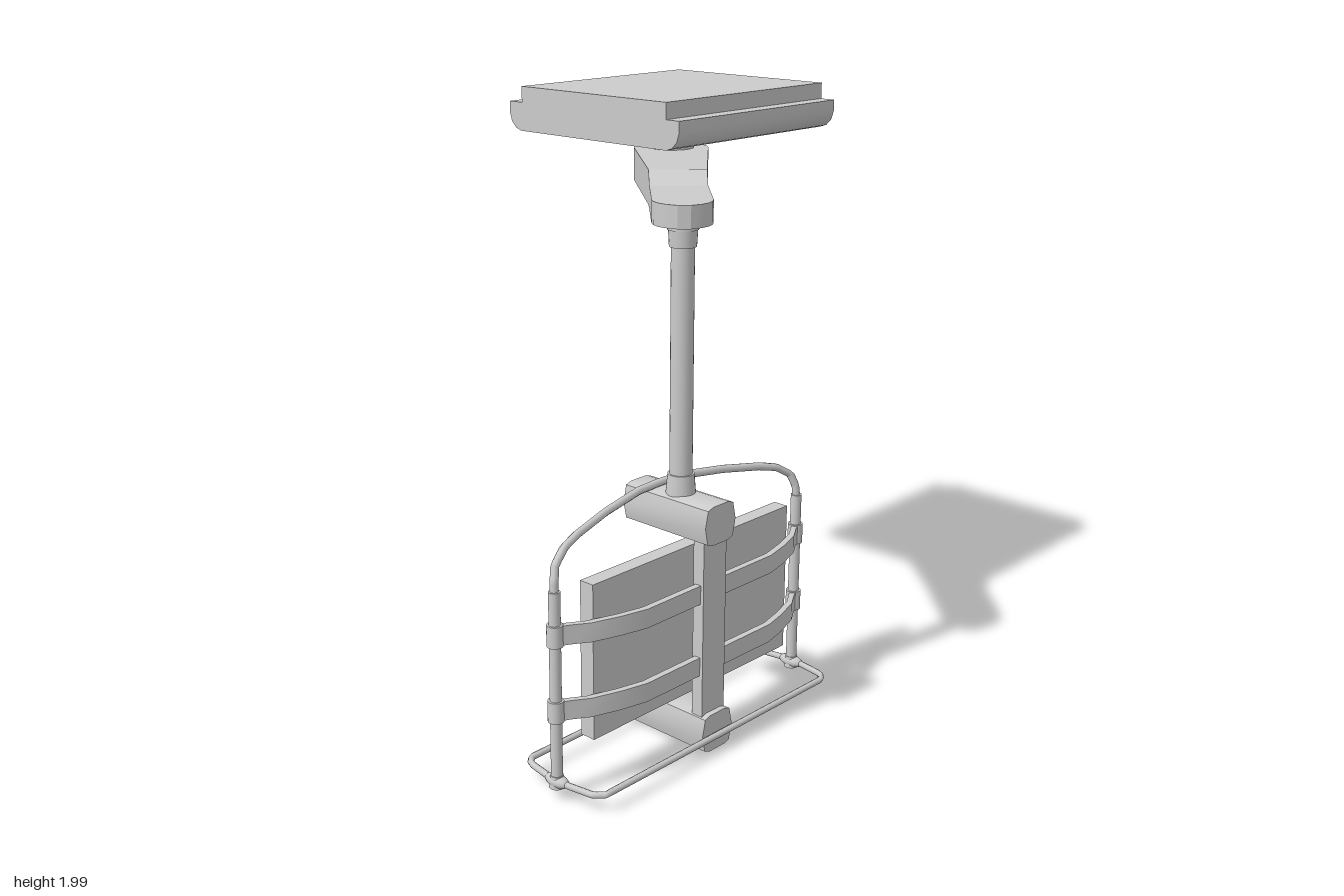
import * as THREE from 'three';
import { toCreasedNormals } from 'three/addons/utils/BufferGeometryUtils.js';

const grey = new THREE.MeshStandardMaterial({ color: 0xcccccc });
const PX = 0.375, PZ = 0.182; // axis of the hanging pole
const TX = 0.392;             // plane of the tubular frame

export function createModel() {
  const model = new THREE.Group();

  const add = (name, geometry, x = 0, y = 0, z = 0, parent = model) => {
    const mesh = new THREE.Mesh(geometry, grey);
    mesh.name = name;
    mesh.position.set(x, y, z);
    parent.add(mesh);
    return mesh;
  };
  const rod = (name, r, y0, y1, x, z, r2 = r) =>
    add(name, new THREE.CylinderGeometry(r2, r, y1 - y0, 24), x, (y0 + y1) / 2, z);
  const outline = (pts) => new THREE.Shape(pts.map(([x, y]) => new THREE.Vector2(x, y)));
  const extrude = (shape, depth) =>
    toCreasedNormals(new THREE.ExtrudeGeometry(shape, { depth, bevelEnabled: false }), 0.5);
  // tube with straight runs between points
  const pipe = (name, pts, r, segments, closed = false) => {
    const curve = new THREE.CatmullRomCurve3(pts.map((p) => new THREE.Vector3(...p)), closed, 'catmullrom', 0);
    return add(name, new THREE.TubeGeometry(curve, segments, r, 8, closed));
  };
  // box along x whose rectangular sections follow stations [x, y0, y1, z0, z1]
  const sectionedBox = (stations) => {
    const n = stations.length - 1;
    const g = new THREE.BoxGeometry(1, 1, 1, n, 1, 1);
    const p = g.attributes.position;
    for (let i = 0; i < p.count; i++) {
      const [x, y0, y1, z0, z1] = stations[Math.round((p.getX(i) + 0.5) * n)];
      p.setXYZ(i, x, p.getY(i) > 0 ? y1 : y0, p.getZ(i) > 0 ? z1 : z0);
    }
    return toCreasedNormals(g, 0.5);
  };

  // Ceiling mount: stepped block with rounded lower edges
  add('ceilingMount', extrude(outline([
    [-0.51, 2], [-0.51, 1.947], [-0.57, 1.947], [-0.57, 1.91], [-0.56, 1.88], [-0.54, 1.86], [-0.515, 1.852],
    [0.145, 1.852], [0.17, 1.86], [0.19, 1.88], [0.2, 1.91], [0.2, 1.947], [0.145, 1.947], [0.145, 2],
  ]), 0.78), 0, 0, -0.77);
  rod('mountSwivel', 0.077, 1.78, 1.856, -0.185, -0.375);

  // Swing arm: round ends, with a step down towards the pole
  const L = 0.79, R0 = 0.127, R1 = 0.098, stations = [];
  for (let i = 0; i <= 8; i++) {
    const a = (i / 8) * Math.PI / 2;
    const w = Math.max(R0 * Math.sin(a), 0.001);
    stations.push([-R0 * Math.cos(a), 1.68, 1.79, -w, w]);
  }
  stations.push([0.48, 1.68, 1.79, -0.092, 0.092], [0.55, 1.68, 1.75, -0.091, 0.091]);
  for (let i = 0; i <= 5; i++) {
    const a = (i / 5) * Math.PI / 2;
    const w = Math.max(0.092 * Math.cos(a), 0.02);
    stations.push([L + R1 * Math.sin(a), 1.68, 1.75, -w, w]);
  }
  add('swingArm', sectionedBox(stations), -0.185, 0, -0.375).rotation.y = -Math.PI / 4;

  // Hanging pole and collars
  rod('pole', 0.036, 0.85, 1.66, PX, PZ);
  rod('upperCollar', 0.042, 1.61, 1.665, PX, PZ, 0.045);
  rod('upperCollarFlange', 0.048, 1.662, 1.684, PX, PZ);
  rod('lowerCollar', 0.048, 0.825, 0.897, PX, PZ, 0.042);

  // Upper and lower brackets: blocks with slightly bulging faces
  const blockProfile = [];
  for (const [y, z] of [[-0.055, -0.058], [0, -0.07], [0.055, -0.058], [0.063, -0.035],
    [0.063, 0.035], [0.055, 0.058], [0, 0.07], [-0.055, 0.058], [-0.063, 0.035], [-0.063, -0.035]]) {
    blockProfile.push([z, y]);
  }
  for (const [name, y] of [['upperBracket', 0.772], ['lowerBracket', 0.07]]) {
    const g = extrude(outline(blockProfile), 0.345);
    add(name, g, 0.195, y, PZ).rotation.y = Math.PI / 2;
  }
  add('backPost', new THREE.BoxGeometry(0.042, 0.62, 0.105), 0.499, 0.42, PZ);

  // Screen: slab with a raised rim on its viewing side
  const screen = new THREE.Group();
  screen.name = 'screen';
  screen.position.set(0, 0.428, PZ);
  model.add(screen);
  add('screenBody', new THREE.BoxGeometry(0.045, 0.505, 0.905), 0.4175, 0, 0, screen);
  const rect = (w, h) => [[-w, -h], [w, -h], [w, h], [-w, h]];
  const rim = outline(rect(0.4525, 0.2525));
  rim.holes.push(outline(rect(0.432, 0.232)));
  add('screenRim', extrude(rim, 0.01), 0.387, 0, 0, screen).rotation.y = Math.PI / 2;

  // Curved straps joining the post to the frame, with clips on the uprights
  const bow = [[-0.562, 0.395], [-0.53, 0.41], [-0.475, 0.445], [-0.38, 0.477], [-0.29, 0.498]];
  const path = [...bow, ...bow.map(([s, x]) => [-s, x]).reverse()];
  for (const y of [0.542, 0.298]) {
    const strap = sectionedBox(path.map(([s, x]) => [s, y - 0.031, y + 0.031, -x - 0.011, -x + 0.011]));
    add('strap', strap, 0, 0, PZ).rotation.y = -Math.PI / 2;
    for (const side of [-1, 1]) rod('strapClip', 0.025, y - 0.034, y + 0.034, TX, PZ + side * 0.562);
  }

  // Tubular frame: uprights, forward-leaning hoop
  for (const side of [-1, 1]) {
    const z = PZ + side * 0.562;
    rod('frameUpright', 0.018, 0.06, 0.68, TX, z);
    // foot joint where the upright meets the floor loop
    const joint = add('footJoint', new THREE.SphereGeometry(0.024, 12, 8), TX, 0.065, z);
    joint.scale.set(2, 0.85, 1);
    rod('footSocket', 0.024, 0.045, 0.085, TX, z, 0.02);
  }
  const half = [[0.562, 0.67, TX], [0.56, 0.71, 0.39], [0.545, 0.752, 0.378], [0.49, 0.787, 0.36],
    [0.42, 0.803, 0.342], [0.27, 0.825, 0.313], [0.1, 0.843, 0.291]];
  const hoop = [...half, [0, 0.845, 0.289], ...half.map(([s, y, x]) => [-s, y, x]).reverse()];
  pipe('frameHoop', hoop.map(([s, y, x]) => [x, y, PZ + s]), 0.013, 80);

  // Floor loop: long rectangle with clipped corners
  const corner = [[0.161, 0.52], [0.135, 0.547], [0.04, 0.562]];
  const loop = [
    ...corner,
    ...corner.map(([x, z]) => [-x, z]).reverse(),
    ...corner.map(([x, z]) => [-x, -z]),
    ...corner.map(([x, z]) => [x, -z]).reverse(),
  ];
  pipe('floorLoop', loop.map(([x, z]) => [0.395 + x, 0.065, PZ + z]), 0.0105, 140, true);

  return model;
}
